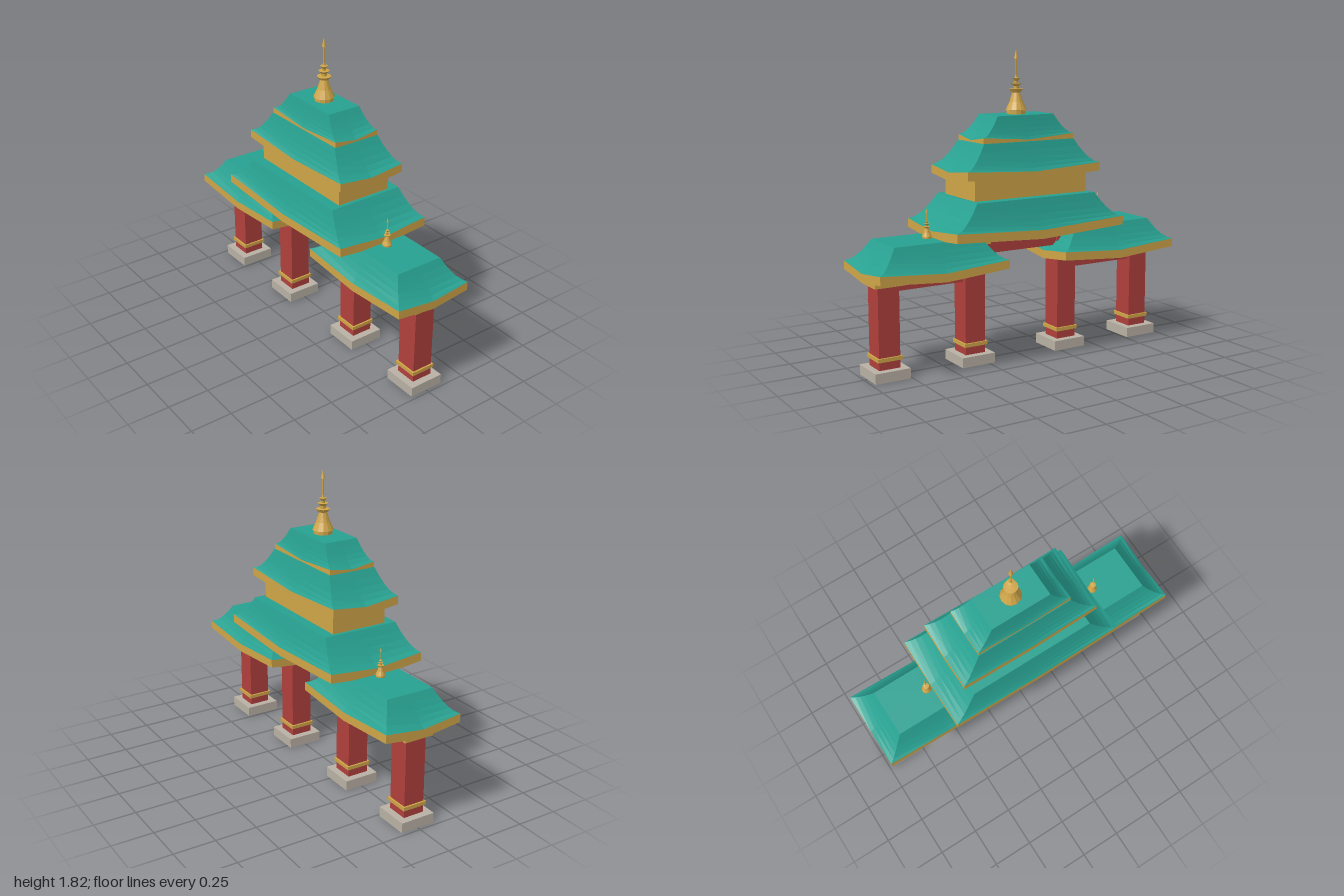
import * as THREE from 'three';

const mat = (name, color) => {
  const m = new THREE.MeshStandardMaterial({ color });
  m.name = name;
  return m;
};

export function createModel() {
  const teal = mat('teal tile', 0x27a090);
  const red = mat('red lacquer', 0xb0403c);
  const gold = mat('gold trim', 0xcfa548);
  const stone = mat('grey stone', 0xb8b0a4);

  const model = new THREE.Group();
  model.name = 'gateway';

  function box(name, material, w, h, d, x, bottom, parent = model) {
    const m = new THREE.Mesh(new THREE.BoxGeometry(w, h, d), material);
    m.name = name;
    m.position.set(x, bottom + h / 2, 0);
    parent.add(m);
  }

  // Hipped roof: concave rings of corners and edge midpoints, the midpoints sagging towards the eave
  const ring = [[1, 0], [1, -1], [0, -1], [-1, -1], [-1, 0], [-1, 1], [0, 1], [1, 1]];
  function roof(name, x, o) {
    const steps = 5, levels = [], pos = [];
    const makeRing = (t, y, sag) => ring.map(([a, b]) => [
      a * THREE.MathUtils.lerp(o.topX, o.eaveX, t),
      y - (a * b === 0 ? sag : 0),
      b * THREE.MathUtils.lerp(o.topZ, o.eaveZ, t),
    ]);
    for (let i = 0; i <= steps; i++) {
      const t = i / steps;
      levels.push(makeRing(t, o.eaveY + (o.topY - o.eaveY) * (1 - t) ** 1.7, o.sag * t * t));
    }
    levels.push(makeRing(1, o.eaveY - o.fascia, o.sag));
    const tri = (...pts) => pts.forEach((p) => pos.push(...p));
    const band = (u, l) => {
      for (let i = 0; i < 8; i++) {
        const j = (i + 1) % 8;
        tri(u[i], l[i], l[j]);
        tri(u[i], l[j], u[j]);
      }
    };
    // Tiled surface and flat top
    for (let i = 0; i < 8; i++) tri([0, o.topY, 0], levels[0][i], levels[0][(i + 1) % 8]);
    for (let k = 0; k < steps; k++) band(levels[k], levels[k + 1]);
    const split = pos.length / 3;
    // Fascia and underside
    const low = levels[steps + 1];
    band(levels[steps], low);
    for (let i = 0; i < 8; i++) tri([0, o.eaveY - o.fascia - o.sag, 0], low[(i + 1) % 8], low[i]);

    const geo = new THREE.BufferGeometry();
    geo.setAttribute('position', new THREE.Float32BufferAttribute(pos, 3));
    geo.addGroup(0, split, 0);
    geo.addGroup(split, pos.length / 3 - split, 1);
    geo.computeVertexNormals();
    const m = new THREE.Mesh(geo, [teal, gold]);
    m.name = name;
    m.position.x = x;
    model.add(m);
  }

  // Finial: bell, three rings and a needle with a pointed tip, as one faceted turning
  function finial(name, x, y, scale) {
    const profile = [
      [0, 0], [0.055, 0], [0.055, 0.02], [0.062, 0.022], [0.04, 0.07], [0.022, 0.125],
      [0.03, 0.128], [0.041, 0.145], [0.016, 0.147], [0.016, 0.162], [0.031, 0.178],
      [0.012, 0.18], [0.012, 0.192], [0.022, 0.207], [0.008, 0.21],
      [0.005, 0.225], [0.005, 0.32], [0.013, 0.32], [0, 0.375],
    ].map(([r, h]) => new THREE.Vector2(r, h));
    const geo = new THREE.LatheGeometry(profile, 12).toNonIndexed();
    geo.computeVertexNormals();
    const m = new THREE.Mesh(geo, gold);
    m.name = name;
    m.position.set(x, y, 0);
    m.scale.setScalar(scale);
    model.add(m);
  }

  // Pillar with stone base, gold band and gold cap
  function pillar(name, x, top) {
    const g = new THREE.Group();
    g.name = name;
    box('base', stone, 0.215, 0.06, 0.215, x, 0, g);
    box('shaft', red, 0.13, top - 0.02, 0.13, x, 0.02, g);
    box('band', gold, 0.15, 0.022, 0.15, x, 0.108, g);
    box('cap', gold, 0.185, 0.042, 0.185, x, top, g);
    model.add(g);
  }

  // Side bays
  for (const [side, s] of [['left', 1], ['right', -1]]) {
    pillar(side + 'OuterPillar', s * 0.87, 0.535);
    pillar(side + 'InnerPillar', s * 0.32, 0.71);
    box(side + 'Beam', red, 0.44, 0.06, 0.08, s * 0.595, 0.495);
    roof(side + 'Roof', s * 0.597, {
      topX: 0.273, topZ: 0.15, topY: 0.767, eaveX: 0.403, eaveZ: 0.245, eaveY: 0.64, sag: 0.03, fascia: 0.05,
    });
    finial(side + 'Finial', s * 0.595, 0.767, 0.465);
  }

  // Central bay and stacked roofs
  box('centreBeam', red, 0.53, 0.075, 0.09, 0, 0.645);
  roof('lowerRoof', 0, {
    topX: 0.4, topZ: 0.236, topY: 0.98, eaveX: 0.563, eaveZ: 0.303, eaveY: 0.833, sag: 0.03, fascia: 0.052,
  });
  box('upperStorey', gold, 0.758, 0.17, 0.348, 0, 0.95);
  roof('middleRoof', 0, {
    topX: 0.305, topZ: 0.15, topY: 1.298, eaveX: 0.448, eaveZ: 0.217, eaveY: 1.155, sag: 0.025, fascia: 0.05,
  });
  roof('topRoof', 0, {
    topX: 0.19, topZ: 0.106, topY: 1.446, eaveX: 0.305, eaveZ: 0.146, eaveY: 1.33, sag: 0.022, fascia: 0.032,
  });
  finial('mainFinial', 0, 1.446, 1);

  return model;
}
